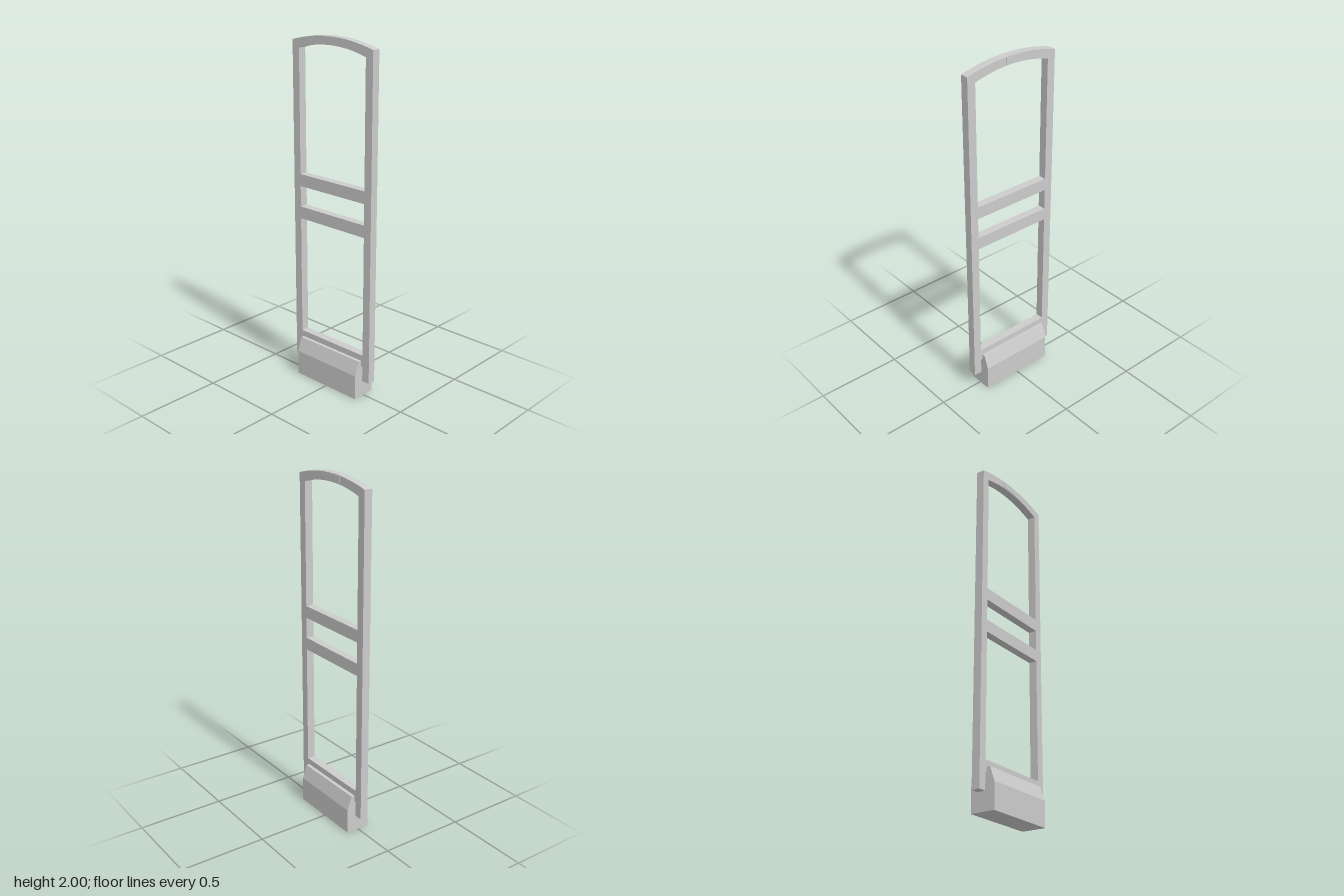
import * as THREE from 'three';

const material = new THREE.MeshStandardMaterial({ color: 0xcccccc });
const W = 0.285;            // half width of the frame
const IN = 0.237;           // inner face of the uprights
const Z0 = -0.025, Z1 = 0.022;

// Height of a shallow circular arch at x
const arch = (x, apex, half, rise) => {
  const r = (half * half + rise * rise) / (2 * rise);
  return apex - r + Math.sqrt(r * r - x * x);
};
const outerY = (x) => arch(x, 2, W, 0.04);
const innerY = (x) => arch(x, 1.955, IN, 0.035);

// Points along an arch from x = a to x = b
function archPoints(fn, a, b, n = 24) {
  return Array.from({ length: n + 1 }, (_, i) => {
    const x = a + ((b - a) * i) / n;
    return new THREE.Vector2(x, fn(x));
  });
}

function extruded(name, points, z0, z1) {
  const geometry = new THREE.ExtrudeGeometry(new THREE.Shape(points), {
    depth: z1 - z0, bevelEnabled: false,
  });
  geometry.translate(0, 0, z0);
  const mesh = new THREE.Mesh(geometry, material);
  mesh.name = name;
  return mesh;
}

export function createModel() {
  const group = new THREE.Group();
  group.name = 'securityGate';

  // Uprights and arched top as one continuous hoop
  group.add(extruded('archedFrame', [
    new THREE.Vector2(-W, 0.1), new THREE.Vector2(-IN, 0.1),
    ...archPoints(innerY, -IN, IN),
    new THREE.Vector2(IN, 0.1), new THREE.Vector2(W, 0.1),
    ...archPoints(outerY, W, -W),
  ], Z0, Z1));

  // Horizontal rails between the uprights
  const rails = [['upperRail', 1.15, 1.22], ['middleRail', 0.96, 1.03], ['lowerRail', 0.19, 0.26]];
  for (const [name, y0, y1] of rails) {
    const rail = new THREE.Mesh(new THREE.BoxGeometry(2 * IN, y1 - y0, Z1 - Z0), material);
    rail.name = name;
    rail.position.set(0, (y0 + y1) / 2, (Z0 + Z1) / 2);
    group.add(rail);
  }

  // Plain inset plate showing on both faces of the arch
  group.add(extruded('topPlate', [
    ...archPoints((x) => innerY(x) + 0.006, -0.08, 0.038, 8),
    ...archPoints((x) => outerY(x) - 0.006, 0.038, -0.08, 8),
  ], Z0 - 0.002, Z1 + 0.002));

  // Base housing: box with sloping shoulders, its section swept along x
  const base = extruded('baseHousing', [
    [-0.07, 0], [0.072, 0], [0.072, 0.145], [0.045, 0.225], [-0.041, 0.225], [-0.07, 0.145],
  ].map(([x, y]) => new THREE.Vector2(x, y)), -0.226, 0.226);
  base.rotation.y = Math.PI / 2; // section x runs towards -z
  group.add(base);

  return group;
}
